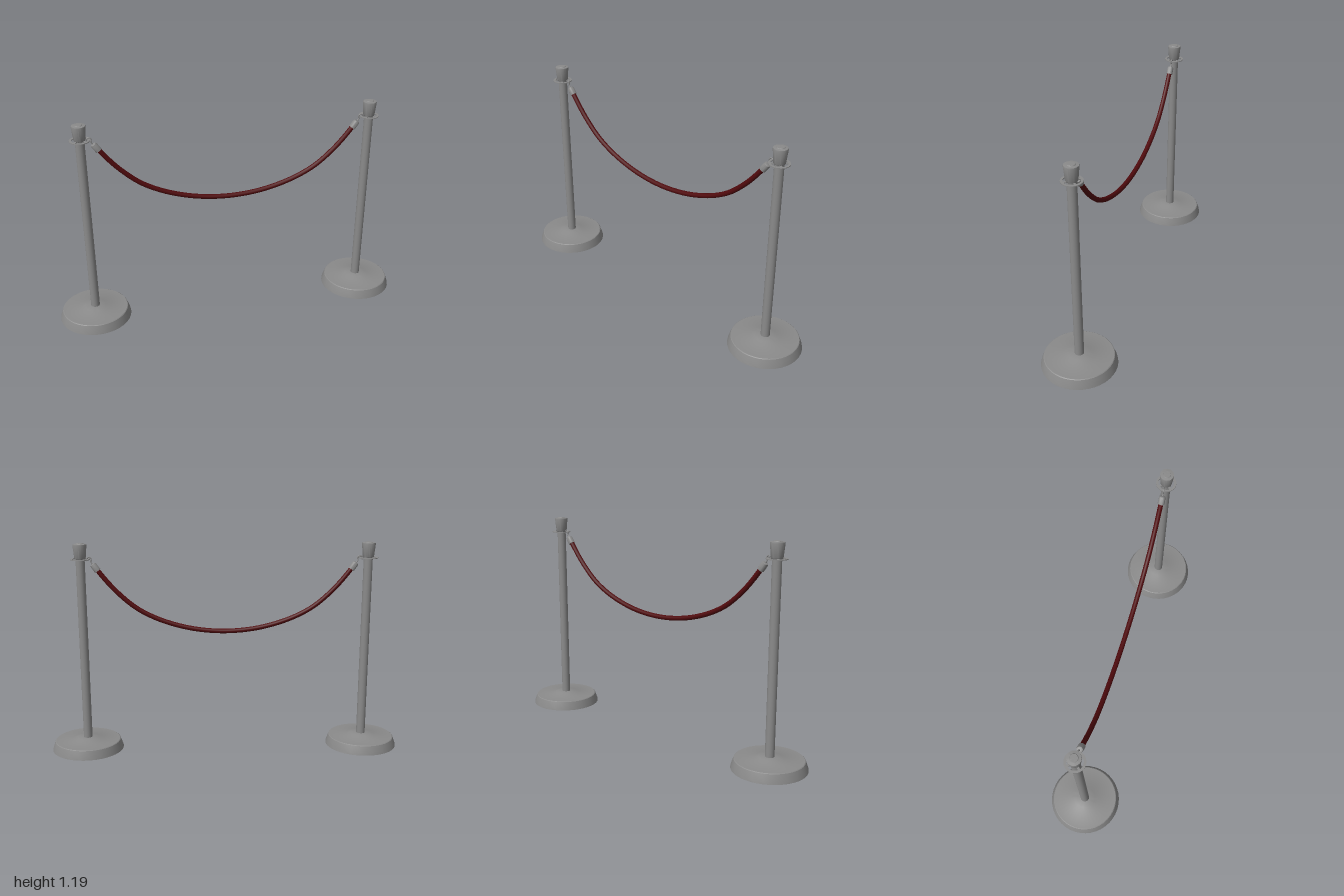
import * as THREE from 'three';
import { toCreasedNormals } from 'three/addons/utils/BufferGeometryUtils.js';

const POST_X = 0.797;

export function createModel() {
  const metal = new THREE.MeshStandardMaterial({ color: 0x8a8a8a });
  metal.name = 'grey metal';
  const velvet = new THREE.MeshStandardMaterial({ color: 0x500a0d });
  velvet.name = 'dark red rope';

  const model = new THREE.Group();
  model.name = 'ropeBarrier';

  const add = (parent, name, geometry, material = metal) => {
    const mesh = new THREE.Mesh(geometry, material);
    mesh.name = name;
    parent.add(mesh);
    return mesh;
  };
  const lathe = (points, segments = 32) => toCreasedNormals(
    new THREE.LatheGeometry(points.map(([r, y]) => new THREE.Vector2(r, y)), segments), 0.5);
  const vec = ([x, y]) => new THREE.Vector3(x, y, 0);

  // One post with its hook; the hook and ferrule point toward +x
  function makePost() {
    const post = new THREE.Group();
    add(post, 'base', lathe([[0, 0], [0.203, 0], [0.201, 0.01], [0.187, 0.05], [0.183, 0.053],
      [0.083, 0.057], [0.06, 0.067], [0, 0.068]], 40));
    add(post, 'pole', new THREE.CylinderGeometry(0.025, 0.025, 1.04, 24).translate(0, 0.585, 0));
    add(post, 'cap', lathe([[0, 1.1], [0.028, 1.1], [0.031, 1.105], [0.038, 1.176],
      [0.037, 1.183], [0.022, 1.185], [0.02, 1.188], [0, 1.188]], 24));

    // Flat hanging ring joined to the pole by spokes
    add(post, 'hangingRing', lathe([[0.043, 1.098], [0.055, 1.098], [0.055, 1.102],
      [0.043, 1.102], [0.043, 1.098]]));
    for (let i = 0; i < 4; i++) {
      const spoke = add(post, 'ringSpoke', new THREE.BoxGeometry(0.024, 0.004, 0.012).translate(0.034, 0, 0));
      spoke.position.y = 1.1;
      spoke.rotation.y = Math.PI / 4 + i * Math.PI / 2;
    }

    // Open hook curling over the ring
    const hookPath = new THREE.CatmullRomCurve3([[0.037, 1.09], [0.035, 1.101], [0.042, 1.11],
      [0.053, 1.11], [0.06, 1.101], [0.057, 1.09], [0.061, 1.08], [0.07, 1.07]].map(vec));
    add(post, 'hook', new THREE.TubeGeometry(hookPath, 28, 0.0035, 8));

    // Ferrule gripping the rope end
    const ferrule = add(post, 'ferrule', lathe([[0, -0.024], [0.0185, -0.024], [0.0185, 0.012],
      [0.016, 0.02], [0.008, 0.024], [0, 0.024]], 16));
    ferrule.position.set(0.08, 1.055, 0);
    ferrule.rotation.z = 0.62;
    return post;
  }

  for (const side of [-1, 1]) {
    const post = makePost();
    post.name = side < 0 ? 'rightPost' : 'leftPost';
    post.position.x = side * POST_X;
    if (side > 0) post.rotation.y = Math.PI;
    model.add(post);
  }

  // Sagging rope, mirrored about the middle
  const half = [[0.715, 1.053], [0.665, 0.988], [0.6, 0.915], [0.5, 0.828], [0.4, 0.772],
    [0.3, 0.734], [0.2, 0.708], [0.1, 0.693]];
  const path = [...half.map(([x, y]) => [-x, y]), [0, 0.688], ...[...half].reverse()];
  add(model, 'rope', new THREE.TubeGeometry(new THREE.CatmullRomCurve3(path.map(vec)), 64, 0.0135, 12), velvet);

  return model;
}
